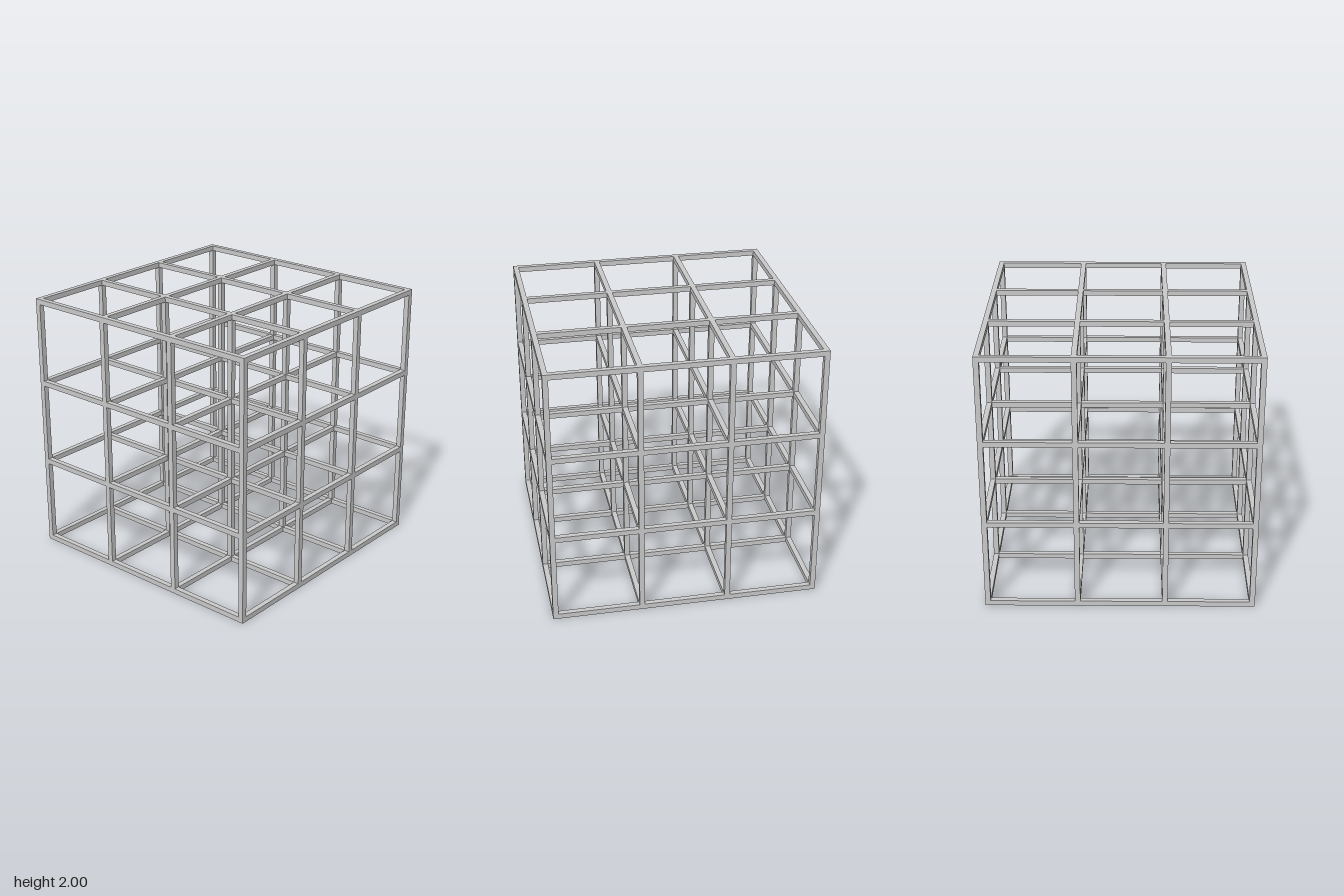
import * as THREE from 'three';

// Cubic lattice: a 4 x 4 set of square bars along each axis
export function createModel() {
  const model = new THREE.Group();
  model.name = 'latticeCube';
  const material = new THREE.MeshStandardMaterial({ color: 0xcccccc, flatShading: true });

  const size = 2;
  const thickness = 0.04;
  const lines = [-0.98, -0.314, 0.333, 0.98]; // bar centres, same on every axis
  const barNames = { x: 'crossBar', y: 'uprightBar', z: 'depthBar' };

  for (const [axis, u, v] of [['x', 'y', 'z'], ['y', 'z', 'x'], ['z', 'x', 'y']]) {
    const dims = new THREE.Vector3(thickness, thickness, thickness);
    dims[axis] = size;
    const geometry = new THREE.BoxGeometry(dims.x, dims.y, dims.z);
    const bars = new THREE.Group();
    bars.name = barNames[axis] + 's';

    lines.forEach((a, i) => lines.forEach((b, j) => {
      const bar = new THREE.Mesh(geometry, material);
      bar.name = `${barNames[axis]}${i + 1}_${j + 1}`;
      bar.position[u] = a;
      bar.position[v] = b;
      bars.add(bar);
    }));
    bars.position.y = size / 2; // stand on the floor
    model.add(bars);
  }
  return model;
}
